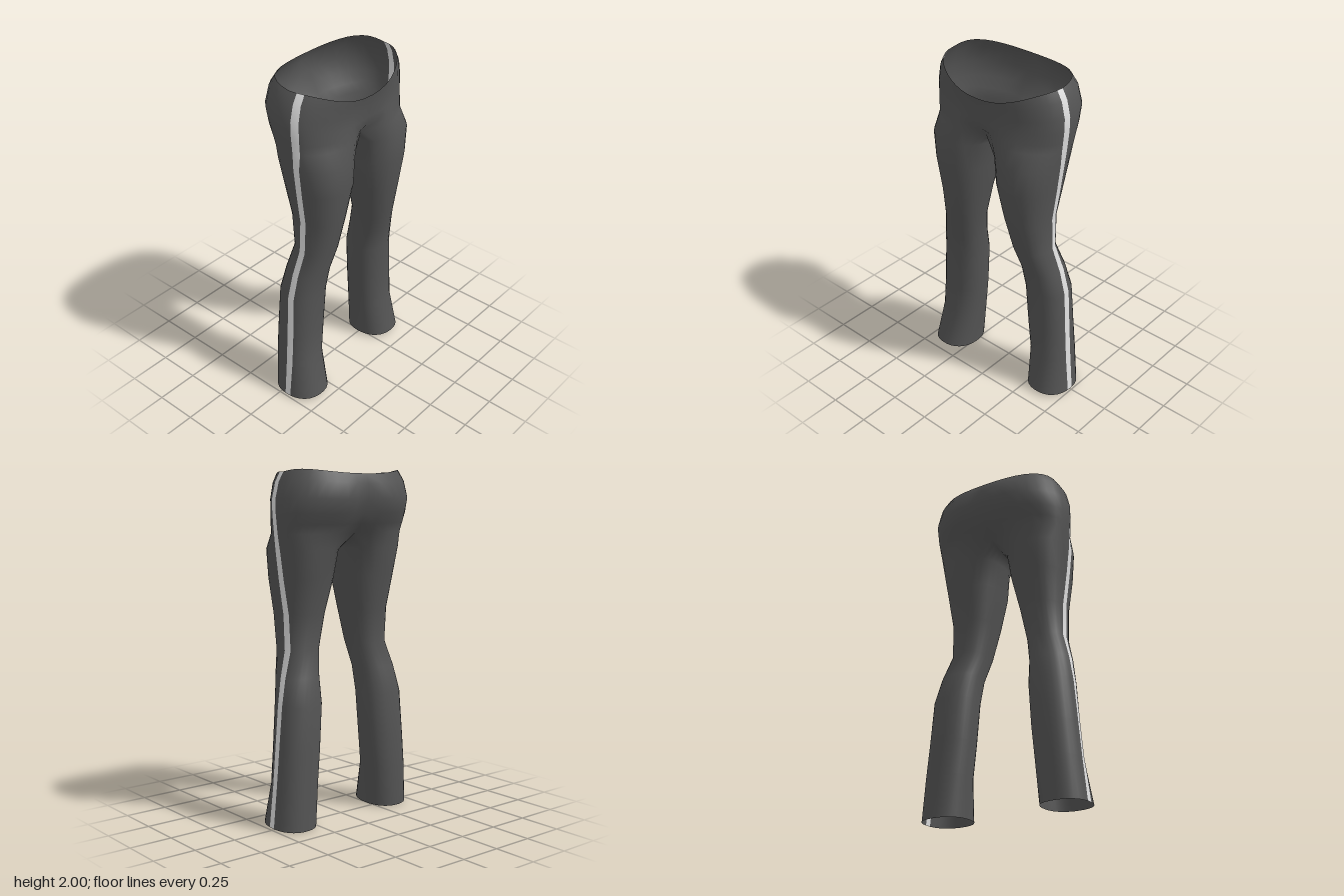
import * as THREE from 'three';
import { mergeVertices } from 'three/addons/utils/BufferGeometryUtils.js';

const ARC = 10;                 // segments in front of and behind the side stripe
const OUTER = ARC * 2 + 1;      // segments of the outer arc, stripe included
const INNER = 8;                // segments of the inner leg
const P = 0.88;                 // squareness of the cross-sections
const STRIPE = 0.019;           // half width of the stripe

// Leg rings: y, inner x, outer x, front z, back z, stripe z, forward shift of the right leg
const LEG = [
  [0.01, 0.228, 0.495, 0.165, -0.14, 0.008, 0.045],
  [0.25, 0.215, 0.472, 0.118, -0.132, 0.006, 0.03],
  [0.45, 0.195, 0.456, 0.12, -0.126, 0.004, 0.025],
  [0.7, 0.177, 0.437, 0.125, -0.12, 0.0, 0.025],
  [0.85, 0.17, 0.408, 0.152, -0.085, 0.012, 0.02],
  [1.0, 0.14, 0.366, 0.195, -0.042, 0.03, 0.01],
  [1.2, 0.1, 0.365, 0.238, -0.06, 0.04, 0],
  [1.4, 0.055, 0.393, 0.268, -0.105, 0.042, 0],
  [1.56, 0.036, 0.412, 0.27, -0.138, 0.043, 0],
];
// Hip rings: y, share of waistline curve, half width, front z, back z, front dent, back dent
const HIPS = [
  [1.65, 0, 0.423, 0.266, -0.175, 0.08, 0.05],
  [1.7, 0, 0.428, 0.258, -0.205, 0.035, 0.03],
  [1.76, 0.1, 0.434, 0.245, -0.24, 0.008, 0.032],
  [1.84, 0.3, 0.435, 0.243, -0.272, 0, 0.035],
  [1.93, 0.7, 0.412, 0.252, -0.252, 0, 0.016],
  [1.985, 1, 0.38, 0.258, -0.216, 0, 0],
];

const spow = (v, p) => Math.sign(v) * Math.abs(v) ** p;
const lerp = THREE.MathUtils.lerp;

// Angle on a ring where the surface reaches a given z
function angleAt(z, cz, zf, zb) {
  const k = z > cz ? (z - cz) / (zf - cz) : (z - cz) / (cz - zb);
  return Math.asin(spow(k, 1 / P));
}

// Angles from the front end, across the stripe, to the back end
function outerAngles(end, a1, a2) {
  const list = [];
  for (let i = 0; i <= ARC; i++) list.push(lerp(end, a1, i / ARC));
  for (let i = 0; i <= ARC; i++) list.push(lerp(a2, -end, i / ARC));
  return list;
}

// Height of the waistline relative to its sides: low in front, slightly raised behind
function waistCurve(s) {
  return s > 0 ? -0.095 * s ** 3 : 0.06 * -s * (1 + s) - 0.01 * s * s;
}

function legRing([y, xi, xo, zf0, zb0, s0, shift], side) {
  const d = side < 0 ? shift : 0;
  const zf = zf0 + d, zb = zb0 + d;
  const stripeZ = s0 + (side < 0 ? 0.05 : 0);
  const cx = (xi + xo) / 2, rx = (xo - xi) / 2, cz = (zf + zb) / 2, rz = (zf - zb) / 2;
  const end = Math.PI * 0.75;
  const angles = outerAngles(end, angleAt(stripeZ + STRIPE, cz, zf, zb), angleAt(stripeZ - STRIPE, cz, zf, zb));
  for (let i = 1; i < INNER; i++) angles.push(-end - (Math.PI / 2) * i / INNER);
  return angles.map(a => {
    const s = Math.sin(a);
    const hem = y < 0.1 ? 0.01 * s : 0;
    return [side * (cx + rx * spow(Math.cos(a), P)), y + hem, cz + rz * spow(s, P)];
  });
}

function hipRing([y, k, rx, zf, zb, dentF, dentB], side) {
  const cz = 0.02, stripeZ = 0.045 + (side < 0 ? 0.05 : 0);
  const angles = outerAngles(Math.PI / 2, angleAt(stripeZ + STRIPE, cz, zf, zb), angleAt(stripeZ - STRIPE, cz, zf, zb));
  return angles.map((a, i) => {
    const s = Math.sin(a);
    const x = i === 0 || i === OUTER ? 0 : rx * Math.max(0, Math.cos(a)) ** P;
    const dent = Math.exp(-((x / 0.09) ** 2));
    const z = s > 0 ? cz + (zf - cz) * s ** P - dentF * dent : cz - (cz - zb) * (-s) ** P + dentB * dent;
    return [side * x, y + k * waistCurve(s), z];
  });
}

function createModel() {
  const fabric = new THREE.MeshStandardMaterial({ color: 0x545454, side: THREE.DoubleSide });
  fabric.name = 'dark grey fabric';
  const trim = new THREE.MeshStandardMaterial({ color: 0xdedede, side: THREE.DoubleSide });
  trim.name = 'light grey trim';

  const points = [], cloth = [], stripes = [];
  for (const side of [1, -1]) {
    const rows = LEG.map(r => legRing(r, side));
    HIPS.forEach((r, i) => {
      const ring = hipRing(r, side);
      if (i === 0) {
        // Crotch seam closes the first hip ring along the centre line
        const front = ring[0], back = ring[OUTER];
        for (let j = 1; j < INNER; j++) {
          const t = j / INNER;
          ring.push([0, front[1] - 0.042 * Math.sin(Math.PI * t) ** 0.7, lerp(back[2], front[2], t)]);
        }
      }
      rows.push(ring);
    });

    // Register the rings, then skin neighbouring rows
    const starts = rows.map(ring => {
      const start = points.length / 3;
      ring.forEach(p => points.push(...p));
      return start;
    });
    for (let r = 0; r < rows.length - 1; r++) {
      const n = rows[r].length;
      const cols = r < LEG.length ? n : OUTER;
      for (let c = 0; c < cols; c++) {
        const c2 = (c + 1) % n;
        const a = starts[r] + c, b = starts[r] + c2;
        const d = starts[r + 1] + c, e = starts[r + 1] + c2;
        const list = c === ARC ? stripes : cloth;
        if (side > 0) list.push(a, b, e, a, e, d);
        else list.push(a, e, b, a, d, e);
      }
    }
  }

  // Weld the centre seam so shading runs smoothly over both halves
  const whole = new THREE.BufferGeometry();
  whole.setAttribute('position', new THREE.Float32BufferAttribute(points, 3));
  whole.setIndex([...cloth, ...stripes]);
  const welded = mergeVertices(whole, 1e-4);
  welded.computeVertexNormals();
  const index = Array.from(welded.index.array);

  const group = new THREE.Group();
  group.name = 'trousers';
  const addPart = (name, part, material) => {
    const geometry = new THREE.BufferGeometry();
    geometry.setAttribute('position', welded.attributes.position);
    geometry.setAttribute('normal', welded.attributes.normal);
    geometry.setIndex(part);
    const mesh = new THREE.Mesh(geometry, material);
    mesh.name = name;
    group.add(mesh);
  };
  addPart('trouserCloth', index.slice(0, cloth.length), fabric);
  addPart('sideStripes', index.slice(cloth.length), trim);
  return group;
}

export { createModel };
